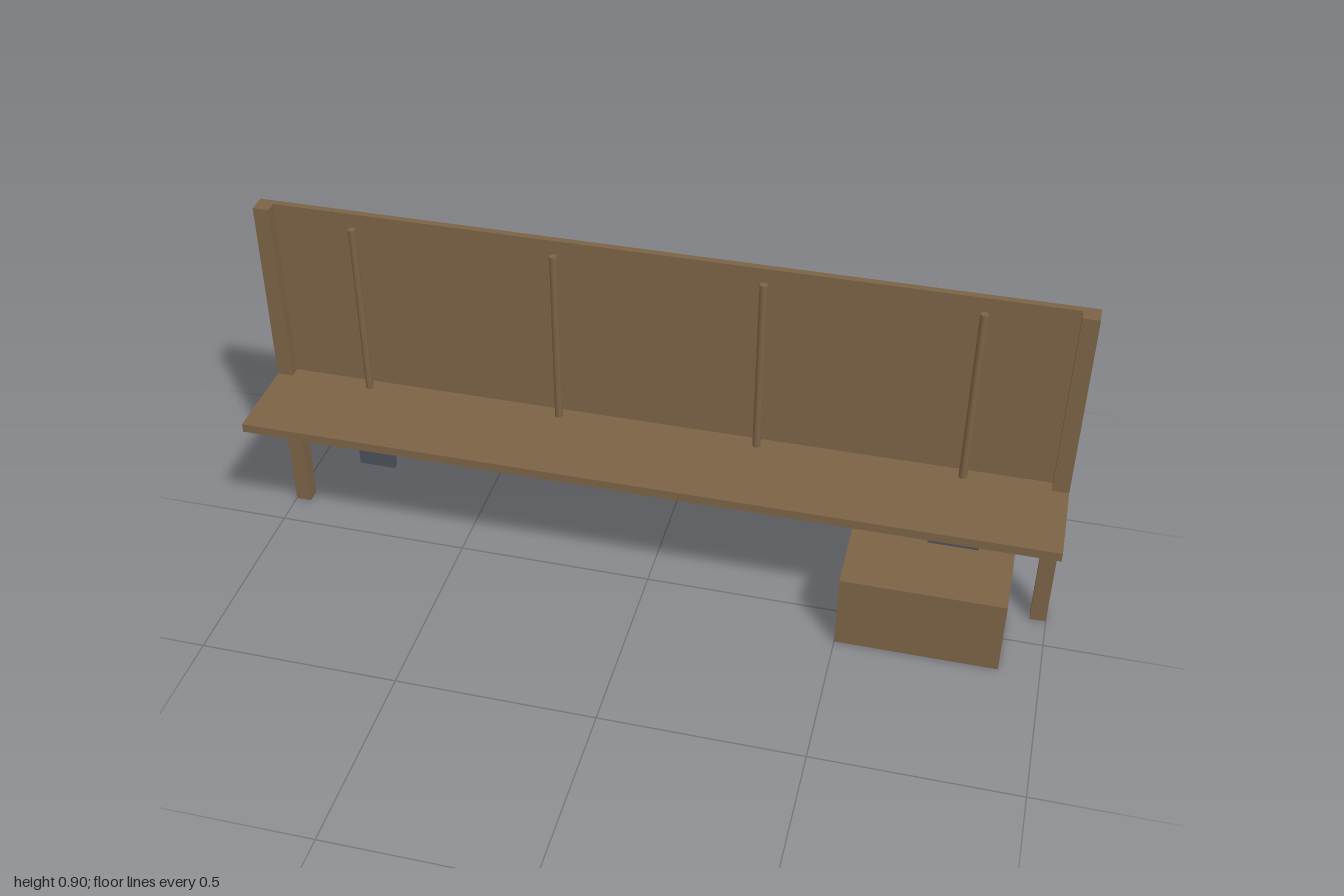
import * as THREE from 'three';

export function createModel() {
  const model = new THREE.Group();
  const wood = new THREE.MeshStandardMaterial({ color: 0x7c6246 });
  wood.name = 'wood';
  const metal = new THREE.MeshStandardMaterial({ color: 0x4b505a });
  metal.name = 'dark metal';

  // Box given by its lowest and highest corners
  function box(name, material, [x0, y0, z0], [x1, y1, z1], parent = model) {
    const mesh = new THREE.Mesh(new THREE.BoxGeometry(x1 - x0, y1 - y0, z1 - z0), material);
    mesh.position.set((x0 + x1) / 2, (y0 + y1) / 2, (z0 + z1) / 2);
    mesh.name = name;
    parent.add(mesh);
  }

  // Back panel, shelf and storage chest
  box('backPanel', wood, [-1, 0.3, -0.135], [1, 0.9, -0.118]);
  box('shelf', wood, [-1, 0.39, -0.118], [1, 0.413, 0.135]);
  box('chest', wood, [0.5, 0, -0.09], [0.9, 0.2, 0.11]);

  // Corner posts
  box('leftPost', wood, [0.96, 0, -0.127], [1, 0.9, -0.088]);
  box('rightPost', wood, [-1, 0, -0.127], [-0.96, 0.9, -0.088]);

  // Hanging tools: a long handle with a flat head at its lower end
  const tools = [
    { name: 'spade', x: -0.75, width: 0.095, bottom: 0.165 },
    { name: 'hoe', x: -0.25, width: 0.085, bottom: 0.263 },
    { name: 'rake', x: 0.25, width: 0.174, bottom: 0.278 },
    { name: 'shovel', x: 0.75, width: 0.125, bottom: 0.19 },
  ];
  for (const { name, x, width, bottom } of tools) {
    const tool = new THREE.Group();
    tool.name = name;
    const handle = new THREE.Mesh(new THREE.CylinderGeometry(0.01, 0.01, 0.6, 8), wood);
    handle.position.set(x, 0.576, -0.09);
    handle.name = name + 'Handle';
    tool.add(handle);
    box(name + 'Head', metal, [x - width / 2, bottom, -0.098], [x + width / 2, 0.3, -0.082], tool);
    model.add(tool);
  }
  return model;
}
